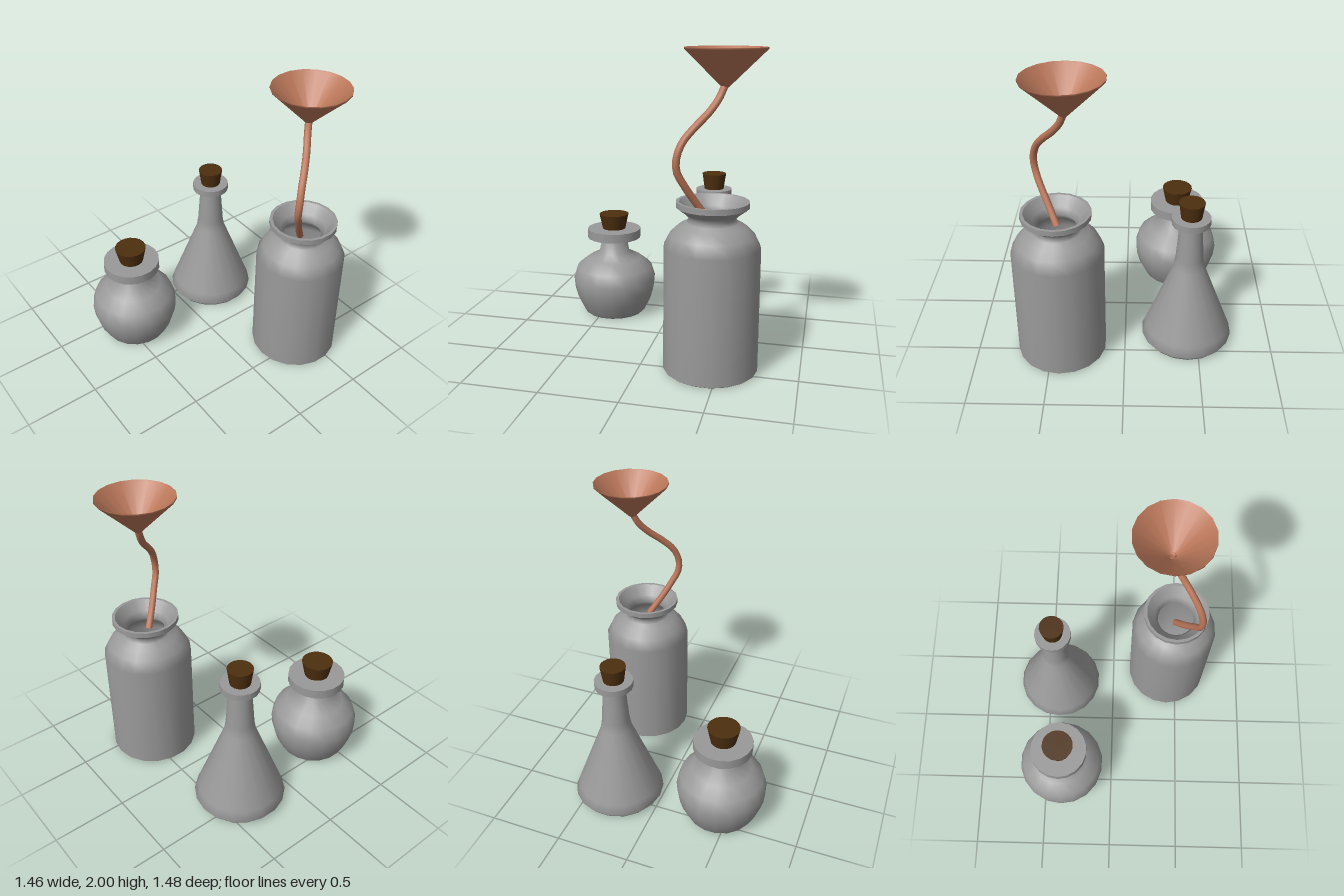
import * as THREE from 'three';

const SIDES = 18;
const grey = new THREE.MeshStandardMaterial({ color: 0x999999, side: THREE.DoubleSide });
grey.name = 'grey glaze';
const copper = new THREE.MeshStandardMaterial({ color: 0xb87558, side: THREE.DoubleSide });
copper.name = 'copper';
const corkBrown = new THREE.MeshStandardMaterial({ color: 0x4d2f0f });
corkBrown.name = 'cork brown';

function part(name, geometry, material) {
  const mesh = new THREE.Mesh(geometry, material);
  mesh.name = name;
  return mesh;
}

// Profile of [radius, height] pairs, listed bottom to top on the outside
function turned(name, profile, material) {
  const pts = profile.map(([r, y]) => new THREE.Vector2(r, y));
  return part(name, new THREE.LatheGeometry(pts, SIDES), material);
}

function disc(name, rTop, rBottom, y0, y1, material) {
  const geo = new THREE.CylinderGeometry(rTop, rBottom, y1 - y0, SIDES);
  geo.translate(0, (y0 + y1) / 2, 0);
  return part(name, geo, material);
}

function vessel(name, x, z, parts) {
  const group = new THREE.Group();
  group.name = name;
  group.position.set(x, 0, z);
  group.add(...parts);
  return group;
}

export function createModel() {
  const model = new THREE.Group();
  model.name = 'bottlesAndFunnel';

  // Squat round bottle
  model.add(vessel('roundBottle', -0.37, 0.43, [
    turned('roundBottleBody', [[0, 0.005], [0.215, 0.005], [0.23, 0.02], [0.275, 0.11], [0.298, 0.19],
      [0.305, 0.27], [0.28, 0.355], [0.2, 0.42], [0.113, 0.465], [0.085, 0.59]], grey),
    disc('roundBottleCollar', 0.197, 0.197, 0.58, 0.645, grey),
    disc('roundBottleCork', 0.108, 0.083, 0.64, 0.755, corkBrown),
  ]));

  // Tall conical flask
  model.add(vessel('conicalFlask', -0.425, -0.31, [
    turned('flaskBody', [[0, 0.005], [0.28, 0.005], [0.31, 0.045], [0.285, 0.11], [0.105, 0.585],
      [0.093, 0.66], [0.073, 0.94]], grey),
    disc('flaskCollar', 0.128, 0.128, 0.93, 0.975, grey),
    disc('flaskCork', 0.085, 0.068, 0.97, 1.085, corkBrown),
  ]));

  // Large open jar with a flared mouth
  model.add(vessel('jar', 0.43, -0.44, [
    turned('jarBase', [[0, 0.003], [0.29, 0.005], [0.3, 0.012]], grey),
    turned('jarBody', [[0.3, 0.012], [0.3, 0.81], [0.262, 0.885], [0.21, 0.935], [0.16, 0.96],
      [0.143, 0.985], [0.17, 1.015], [0.225, 1.055]], grey),
    turned('jarRim', [[0.225, 1.055], [0.225, 1.09]], grey),
    turned('jarLip', [[0.225, 1.09], [0.205, 1.09]], grey),
    turned('jarInside', [[0.205, 1.09], [0.15, 1.025], [0.125, 0.985], [0.15, 0.945], [0.28, 0.8],
      [0.28, 0.04], [0, 0.04]], grey),
  ]));

  // Funnel cone with a thin folded lip
  model.add(vessel('funnel', 0.345, -0.49, [
    turned('funnelCone', [[0.02, 1.765], [0.25, 1.99], [0.25, 2]], copper),
    turned('funnelInside', [[0.25, 2], [0.242, 1.993], [0.04, 1.795], [0.015, 1.77]], copper),
  ]));

  // Curved stem running down into the jar
  const path = new THREE.CatmullRomCurve3([
    [0.345, 1.785, -0.49], [0.375, 1.705, -0.46], [0.43, 1.625, -0.41], [0.5, 1.54, -0.335],
    [0.55, 1.46, -0.275], [0.575, 1.37, -0.245], [0.57, 1.29, -0.245], [0.54, 1.2, -0.285],
    [0.488, 1.09, -0.345], [0.43, 0.97, -0.42],
  ].map((p) => new THREE.Vector3(...p)));
  model.add(part('funnelStem', new THREE.TubeGeometry(path, 24, 0.023, 10), copper));

  return model;
}
